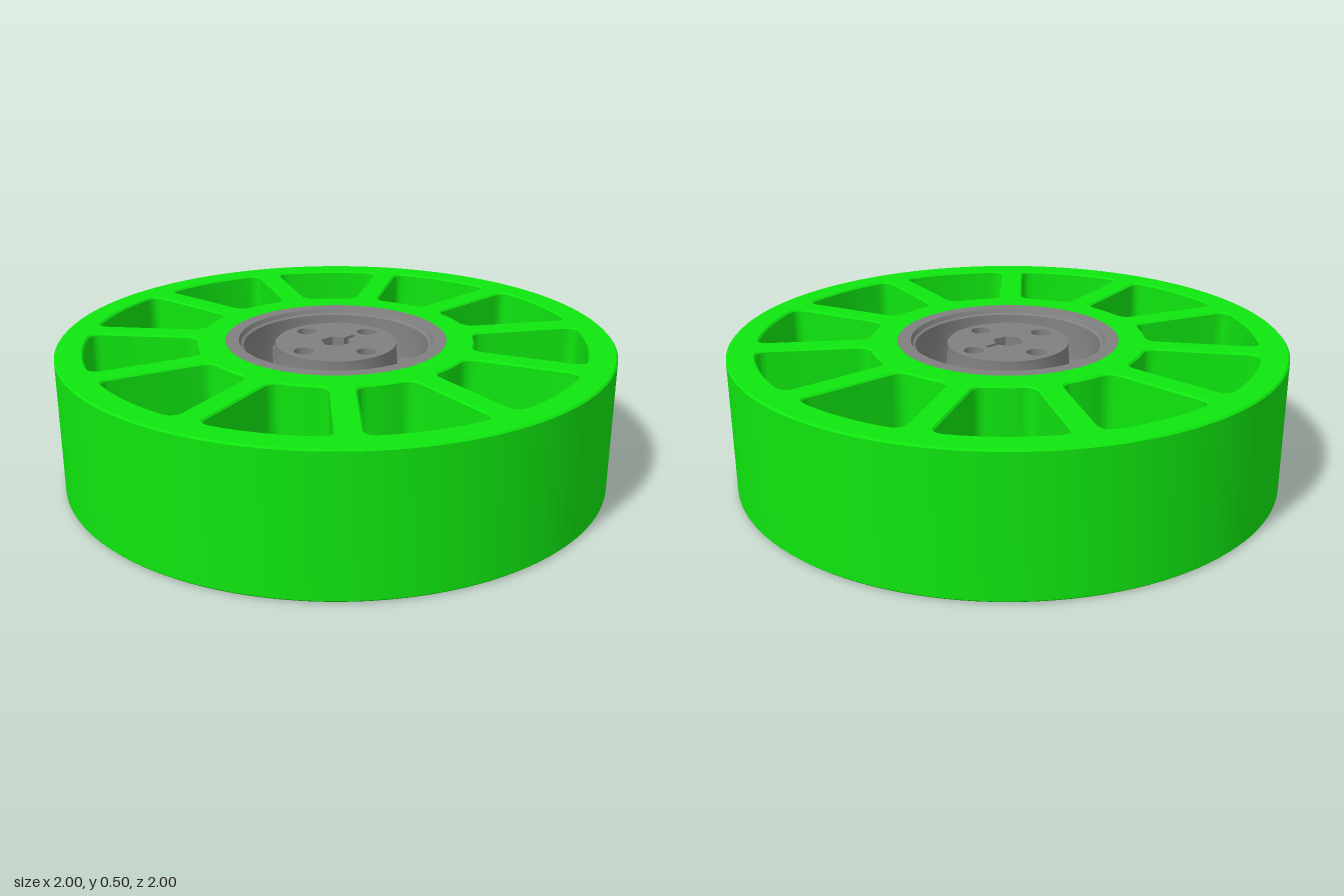
import * as THREE from 'three';
import { toCreasedNormals } from 'three/addons/utils/BufferGeometryUtils.js';

const HEIGHT = 0.5, HUB_R = 0.4, BOSS_R = 0.22, BOSS_TOP = 0.485, FLOOR = 0.2;
const SPOKES = 11, SPOKE_HALF = 0.045;

const polar = (r, a) => new THREE.Vector2(r * Math.cos(a), r * Math.sin(a));

function circlePath(r, x = 0, y = 0) {
  return new THREE.Path().absarc(x, y, r, 0, Math.PI * 2, true);
}

// Extrudes a plan shape upwards from y0 to y1
function extrudeUp(shape, y0, y1, bevel = 0, curveSegments = 32) {
  const geo = new THREE.ExtrudeGeometry(shape, {
    depth: y1 - y0 - 2 * bevel, curveSegments,
    bevelEnabled: bevel > 0, bevelSize: bevel, bevelThickness: bevel,
    bevelOffset: -bevel, bevelSegments: 1,
  });
  geo.rotateX(-Math.PI / 2);
  geo.translate(0, y0 + bevel, 0);
  return toCreasedNormals(geo, 0.5);
}

// Rounded opening between two parallel-sided spokes at angles a0 and a1
function windowPath(a0, a1) {
  const ri = 0.5, ro = 0.9, f = 0.045;
  const lo = r => a0 + Math.asin(SPOKE_HALF / r);
  const hi = r => a1 - Math.asin(SPOKE_HALF / r);
  const p = new THREE.Path();
  const corner = (c, e) => p.quadraticCurveTo(c.x, c.y, e.x, e.y);
  const line = v => p.lineTo(v.x, v.y);
  const start = polar(ri + f, lo(ri + f));
  p.moveTo(start.x, start.y);
  line(polar(ro - f, lo(ro - f)));
  corner(polar(ro, lo(ro)), polar(ro, lo(ro) + f / ro));
  p.absarc(0, 0, ro, lo(ro) + f / ro, hi(ro) - f / ro, false);
  corner(polar(ro, hi(ro)), polar(ro - f, hi(ro - f)));
  line(polar(ri + f, hi(ri + f)));
  corner(polar(ri, hi(ri)), polar(ri, hi(ri) - f / ri));
  p.absarc(0, 0, ri, hi(ri) - f / ri, lo(ri) + f / ri, true);
  corner(polar(ri, lo(ri)), start);
  return new THREE.Path(p.getPoints(12).filter((q, i, all) => i === 0 ||
    (q.distanceTo(all[i - 1]) > 1e-4 && q.distanceTo(all[0]) > 1e-4)));
}

// Boss plan with four bolt holes and a hexagonal bore, optionally keyed
function bossShape(keyed) {
  const s = new THREE.Shape().absarc(0, 0, BOSS_R, 0, Math.PI * 2, false);
  for (let i = 0; i < 4; i++) {
    const c = polar(0.158, i * Math.PI / 2);
    s.holes.push(circlePath(0.036, c.x, c.y));
  }
  const hex = [];
  for (let i = 0; i < 6; i++) {
    if (i === 0 && keyed) {
      // Key slot replaces the bore's rear corner
      for (const [x, y] of [[0.01, 0.05], [0.01, 0.1], [-0.01, 0.1], [-0.01, 0.05]]) {
        hex.push(new THREE.Vector2(x, y));
      }
    } else hex.push(polar(0.056, Math.PI / 2 + i * Math.PI / 3));
  }
  s.holes.push(new THREE.Path(hex));
  return s;
}

export function createModel() {
  const model = new THREE.Group();
  const green = new THREE.MeshStandardMaterial({ color: 0x0fe60f });
  const grey = new THREE.MeshStandardMaterial({ color: 0x808080 });
  const add = (name, geo, mat, parent = model) => {
    const mesh = new THREE.Mesh(geo, mat);
    mesh.name = name;
    parent.add(mesh);
    return mesh;
  };

  // Spoked wheel body
  const bevel = 0.006;
  const body = new THREE.Shape().absarc(0, 0, 1, 0, Math.PI * 2, false);
  body.holes.push(circlePath(HUB_R - bevel));
  const step = Math.PI * 2 / SPOKES;
  for (let i = 0; i < SPOKES; i++) {
    const a = Math.PI / 2 + i * step;
    body.holes.push(windowPath(a, a + step));
  }
  add('spokedWheel', extrudeUp(body, 0, HEIGHT, bevel, 64), green);

  // Hub shell: flat base, outer rim and a filleted annular recess
  const hub = new THREE.Group();
  hub.name = 'hub';
  model.add(hub);
  const profile = [
    [BOSS_R, 0], [HUB_R, 0], [HUB_R, HEIGHT], [0.352, HEIGHT], [0.345, 0.485],
    [0.335, 0.48], [0.325, FLOOR + 0.04], [0.313, FLOOR + 0.012], [0.285, FLOOR],
    [0.265, FLOOR], [0.245, FLOOR + 0.008], [0.232, FLOOR + 0.035], [BOSS_R, BOSS_TOP - 0.01],
  ].map(([r, y]) => new THREE.Vector2(r, y));
  add('hubShell', toCreasedNormals(new THREE.LatheGeometry(profile, 96), 0.5), grey, hub);

  // Central boss, with the key slot only in its upper layer
  const slotFloor = BOSS_TOP - 0.08;
  add('bossLower', extrudeUp(bossShape(false), 0, slotFloor), grey, hub);
  add('bossUpper', extrudeUp(bossShape(true), slotFloor, BOSS_TOP), grey, hub);

  // Six radial ribs bridging the recess
  const ribTop = 0.39;
  const ribGeo = new THREE.BoxGeometry(0.115, ribTop - FLOOR + 0.02, 0.05);
  ribGeo.translate(0.2775, (ribTop + FLOOR - 0.02) / 2, 0);
  for (let i = 0; i < 6; i++) {
    add('rib', ribGeo, grey, hub).rotation.y = i * Math.PI / 3;
  }
  return model;
}
